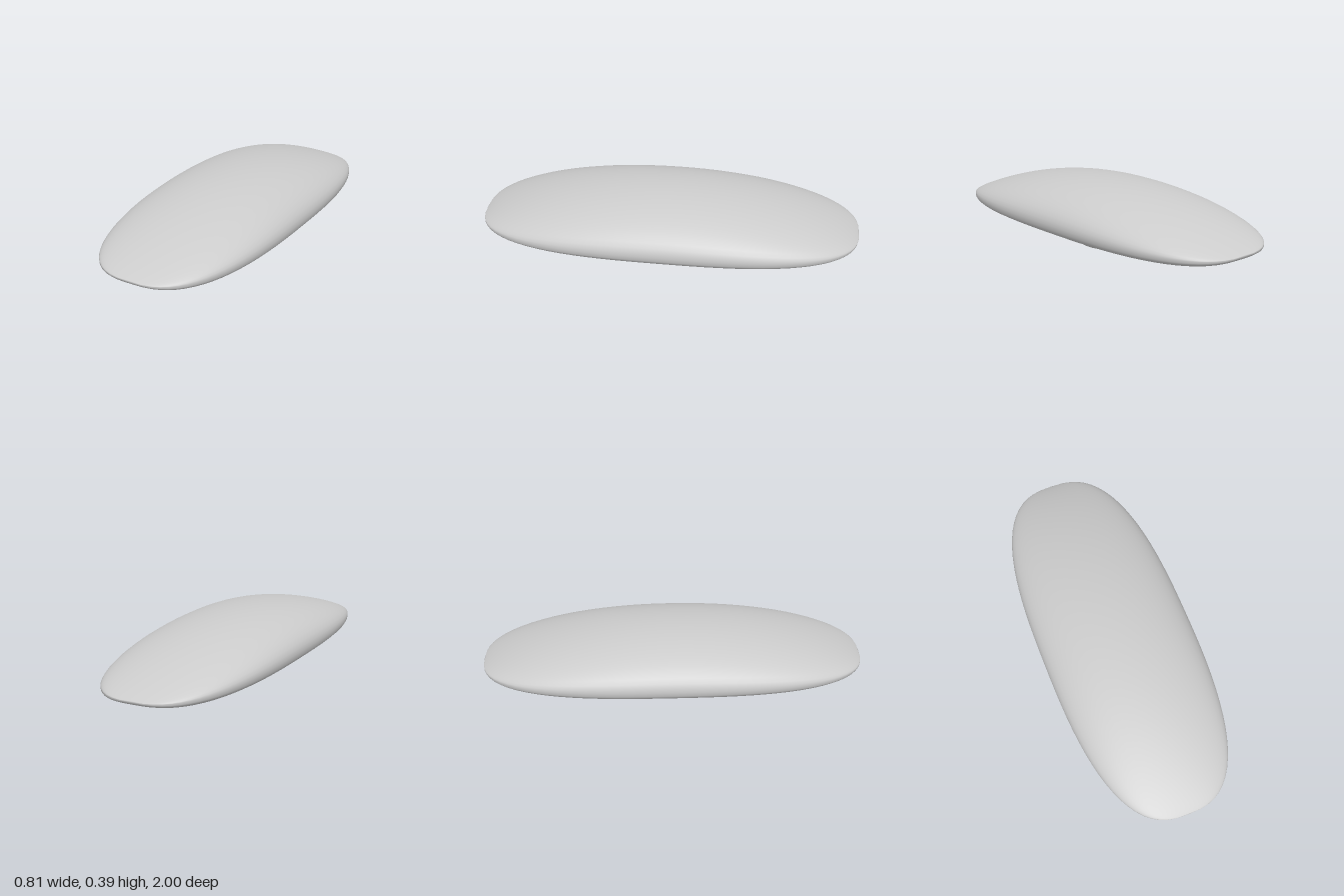
import * as THREE from 'three';
import { mergeVertices, toCreasedNormals } from 'three/addons/utils/BufferGeometryUtils.js';

const TILT = -0.03; // the whole piece leans slightly to one side
const signedPow = (v, p) => Math.sign(v) * Math.pow(Math.abs(v), p);

// Domed, flat-bottomed oval: a sphere reshaped by superellipse rules
function bodyGeometry() {
  let geo = new THREE.SphereGeometry(1, 48, 40).rotateX(Math.PI / 2);
  const pos = geo.attributes.position;
  for (let i = 0; i < pos.count; i++) {
    const z = THREE.MathUtils.clamp(pos.getZ(i), -1, 1);
    const r = Math.hypot(pos.getX(i), pos.getY(i));
    const c = r > 1e-5 ? pos.getX(i) / r : 0;
    const s = r > 1e-5 ? pos.getY(i) / r : 0;
    const a = r > 1e-5 ? Math.abs(z) : 1;
    const width = 0.405 * Math.pow(1 - Math.pow(a, 2.7), 1 / 2.7);
    const up = s >= 0;
    const height = up ? 0.174 * Math.pow(1 - a * a, 0.83) : 0.098 * Math.pow(1 - a * a, 0.47);
    const power = up ? 1 : 2 / 2.75;
    const x = width * signedPow(c, power);
    const rim = 0.19 + 0.027 * (1 - a * a);
    pos.setXYZ(i, x, rim + height * signedPow(s, power) + TILT * x, z);
  }
  geo.deleteAttribute('normal');
  geo.deleteAttribute('uv');
  geo = mergeVertices(geo, 1e-5);
  geo.computeVertexNormals();
  return geo;
}

// Curved strap: chamfered rectangular sections swept across the underside
function handleGeometry() {
  // x, lower y, upper y, half depth
  const half = [
    [0, 0.001, 0.053, 0.038], [0.06, 0.011, 0.063, 0.038], [0.12, 0.034, 0.089, 0.038],
    [0.18, 0.073, 0.119, 0.038], [0.215, 0.096, 0.135, 0.037], [0.312, 0.131, 0.147, 0.033],
  ];
  const stations = [...half.slice(1).reverse().map(([x, ...rest]) => [-x, ...rest]), ...half];
  const points = [];
  const index = [];
  const n = 8;
  for (const [x, lo, hi, d] of stations) {
    const mid = (lo + hi) / 2 + TILT * x;
    const h = (hi - lo) / 2;
    const bevel = Math.min(0.01, h * 0.5);
    const ring = [
      [d, h - bevel], [d - bevel, h], [-d + bevel, h], [-d, h - bevel],
      [-d, -h + bevel], [-d + bevel, -h], [d - bevel, -h], [d, -h + bevel],
    ];
    for (const [z, y] of ring) points.push(x, mid + y, z);
  }
  for (let i = 0; i < stations.length - 1; i++) {
    for (let j = 0; j < n; j++) {
      const a = i * n + j, b = i * n + (j + 1) % n;
      index.push(a, a + n, b, b, a + n, b + n);
    }
  }
  // End caps
  const last = (stations.length - 1) * n;
  for (let j = 1; j < n - 1; j++) {
    index.push(0, j, j + 1, last, last + j + 1, last + j);
  }
  const geo = new THREE.BufferGeometry();
  geo.setAttribute('position', new THREE.Float32BufferAttribute(points, 3));
  geo.setIndex(index);
  // Make sure the faces look outward whatever the winding of the rings
  const p = i => new THREE.Vector3().fromArray(points, i * 3);
  const mid = half.length - 1;
  const q = mid * n + 1;
  const normal = p(q + n).sub(p(q)).cross(p(q + 1).sub(p(q)));
  if (normal.y < 0) {
    for (let i = 0; i < index.length; i += 3) [index[i], index[i + 1]] = [index[i + 1], index[i]];
    geo.setIndex(index);
  }
  return toCreasedNormals(geo, 0.7);
}

export function createModel() {
  const group = new THREE.Group();
  const material = new THREE.MeshStandardMaterial({ color: 0xcccccc });

  const body = new THREE.Mesh(bodyGeometry(), material);
  body.name = 'shell';
  group.add(body);

  const handleMaterial = material.clone();
  handleMaterial.side = THREE.DoubleSide;
  const handle = new THREE.Mesh(handleGeometry(), handleMaterial);
  handle.name = 'handle';
  group.add(handle);

  return group;
}
